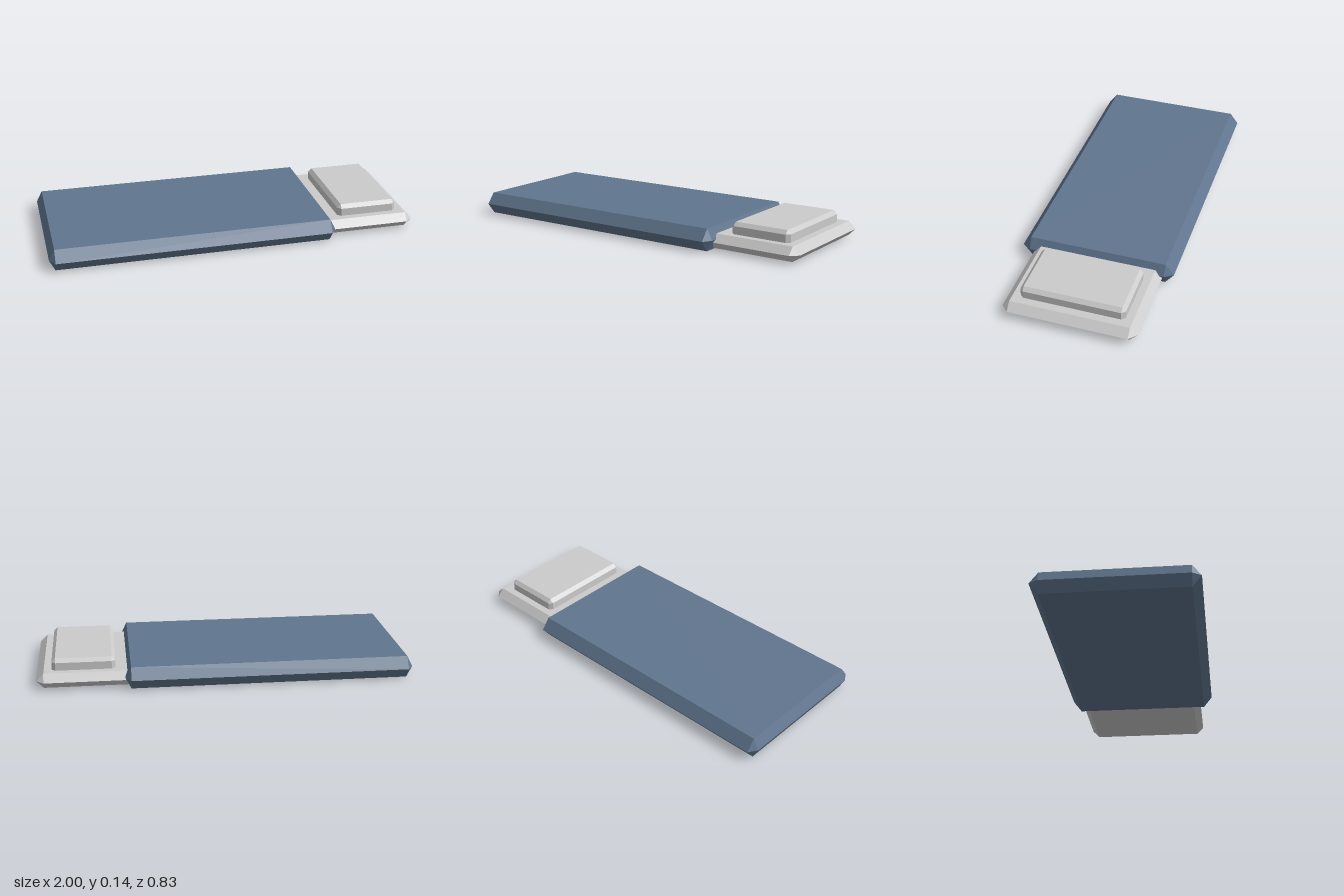
import * as THREE from 'three';
import { ConvexGeometry } from 'three/addons/geometries/ConvexGeometry.js';

// Chamfered slab: each level is [y, inset, corner cut] of the outer rectangle.
function slab(name, [x0, x1], [z0, z1], levels, color) {
  const points = [];
  for (const [y, inset, cutX, cutZ] of levels) {
    const cx = (x0 + x1) / 2, cz = (z0 + z1) / 2;
    const hx = (x1 - x0) / 2 - (inset ? cutX : 0);
    const hz = (z1 - z0) / 2 - (inset ? cutZ : 0);
    for (const sx of [-1, 1]) for (const sz of [-1, 1]) {
      if (inset) {
        points.push(new THREE.Vector3(cx + sx * hx, y, cz + sz * hz));
      } else {
        points.push(new THREE.Vector3(cx + sx * (hx - cutX), y, cz + sz * hz));
        points.push(new THREE.Vector3(cx + sx * hx, y, cz + sz * (hz - cutZ)));
      }
    }
  }
  const material = new THREE.MeshStandardMaterial({ color, flatShading: true });
  const mesh = new THREE.Mesh(new ConvexGeometry(points), material);
  mesh.name = name;
  return mesh;
}

export function createModel() {
  const group = new THREE.Group();
  group.name = 'slabWithTab';

  // Wide body with pointed edges all round
  group.add(slab('body', [-1, 0.535], [-0.415, 0.415],
    [[0, true, 0.03, 0.046], [0.059, false, 0.03, 0.046], [0.118, true, 0.03, 0.046]], 0x60758e));

  // Narrower end tab that slides into the body
  group.add(slab('endTab', [0.43, 1], [-0.358, 0.347],
    [[0.005, true, 0.04, 0.038], [0.044, false, 0.04, 0.038], [0.083, true, 0.04, 0.038]], 0xcccccc));

  // Raised pad with upright sides and a bevelled top
  group.add(slab('raisedPad', [0.584, 0.918], [-0.281, 0.271],
    [[0.07, false, 0.019, 0.019], [0.125, false, 0.019, 0.019], [0.145, true, 0.019, 0.019]], 0xcccccc));

  return group;
}
